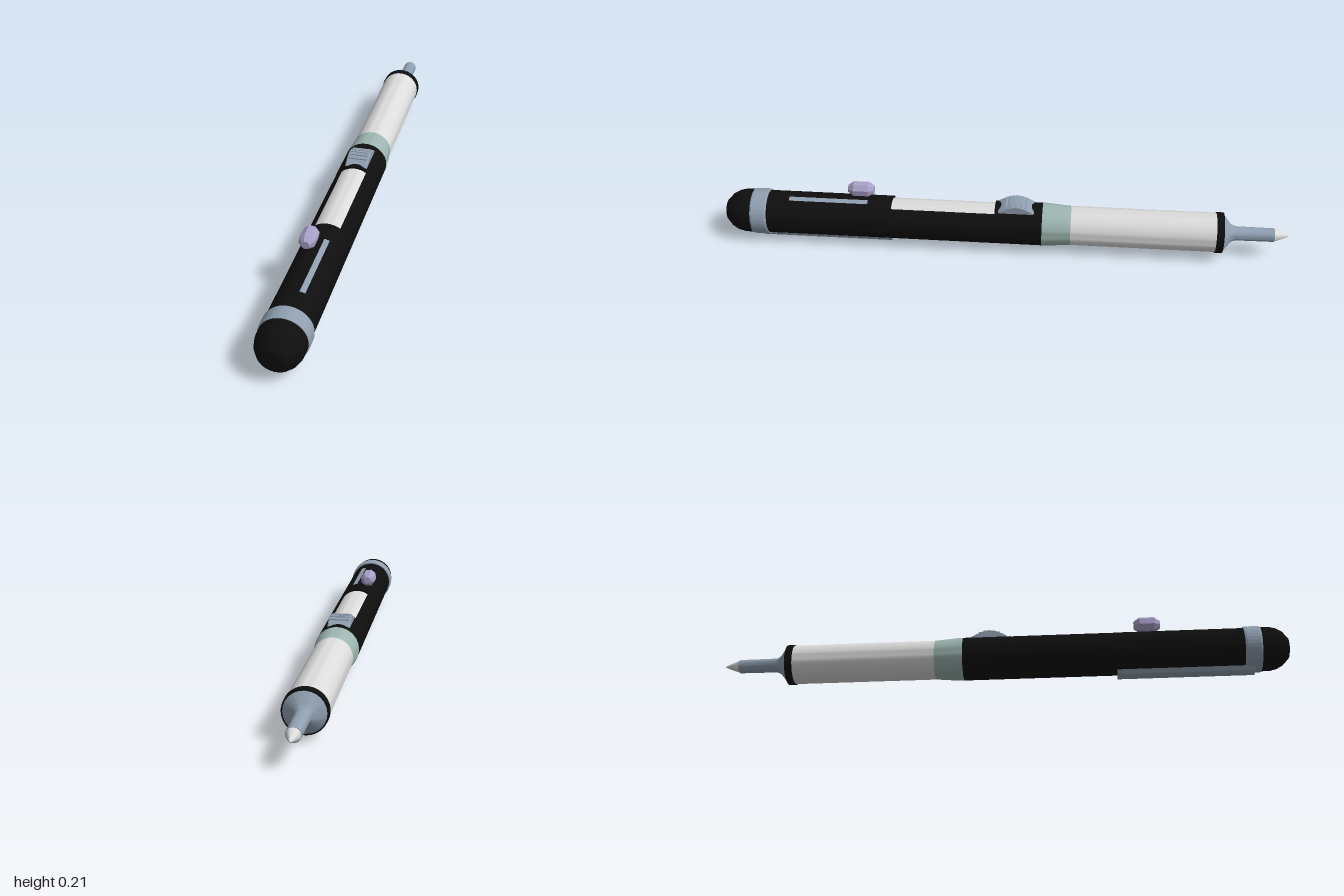
import * as THREE from 'three';
import { toCreasedNormals } from 'three/addons/utils/BufferGeometryUtils.js';

const AXIS_Y = 0.0915;

function material(name, color, flatShading = false) {
  const m = new THREE.MeshStandardMaterial({ color, flatShading });
  m.name = name;
  return m;
}

export function createModel() {
  const black = material('black', 0x0e0e0e);
  const steel = material('blue grey', 0x8f9fb0);
  const white = material('white', 0xdcdcdc);
  const teal = material('pale teal', 0x9db5b0);
  const lavender = material('lavender', 0xa9a0c8);

  const pen = new THREE.Group();
  pen.name = 'pen';

  function add(name, geometry, mat, x = 0, y = 0, z = 0) {
    const mesh = new THREE.Mesh(geometry, mat);
    mesh.name = name;
    mesh.position.set(x, y, z);
    pen.add(mesh);
    return mesh;
  }

  // Turned part along z; profile is [radius, z] from back to front
  function turned(name, profile, mat, sides = 48, start = 0, sweep = Math.PI * 2, crease = 0.5) {
    const pts = profile.map(([r, z]) => new THREE.Vector2(r, z));
    const g = new THREE.LatheGeometry(pts, sides, start, sweep);
    g.rotateX(Math.PI / 2);
    return add(name, toCreasedNormals(g, crease), mat, 0, AXIS_Y, 0);
  }

  // Writing end
  turned('tip', [[0, -1], [0.006, -0.99], [0.023, -0.945], [0, -0.945]], white, 16);
  turned('nozzle', [[0, -0.946], [0.024, -0.946], [0.025, -0.81], [0.032, -0.795],
    [0.068, -0.767], [0, -0.767]], steel, 24);
  turned('noseRing', [[0, -0.768], [0.071, -0.768], [0.072, -0.742], [0, -0.742]], black);
  turned('grip', [[0.069, -0.742], [0.069, -0.237]], white);
  turned('taperBand', [[0.069, -0.237], [0.076, -0.15], [0.076, -0.137]], teal);

  // Barrel with an opening on top over a white core
  const R = 0.0757;
  turned('frontBarrel', [[0, -0.138], [R, -0.138], [R, 0.03], [0, 0.03]], black);
  turned('rearBarrel', [[0, 0.395], [R, 0.395], [R, 0.842], [0, 0.842]], black);
  const half = Math.asin(0.042 / R);
  const sweep = Math.PI * 2 - half * 2;
  turned('windowBarrel', [[0.066, 0.03], [R, 0.03], [R, 0.395], [0.066, 0.395]],
    black, 40, Math.PI + half, sweep);
  turned('windowCore', [[0.069, 0.03], [0.069, 0.395]], white);
  turned('slot', [[R + 0.001, 0.48], [R + 0.001, 0.76]], steel, 4, Math.PI - 0.4, 0.24);

  // Collar and end cap
  turned('collar', [[0.07, 0.838], [0.079, 0.838], [0.081, 0.844], [0.081, 0.89],
    [0.079, 0.896], [0.07, 0.896]], steel, 40, 0, Math.PI * 2, 0.1);
  turned('endCap', [[0.077, 0.894], [0.077, 0.925], [0.071, 0.95], [0.059, 0.971],
    [0.036, 0.992], [0, 1]], black);

  // Ribbed thumb slider with an arched top
  const arch = new THREE.Shape();
  arch.moveTo(-0.105, 0.145);
  for (let i = 0; i <= 10; i++) {
    const t = i / 10;
    arch.lineTo(-0.105 + 0.12 * t, 0.16 + 0.022 * Math.sin(Math.PI * t));
  }
  arch.lineTo(0.015, 0.145);
  const sliderGeo = new THREE.ExtrudeGeometry(arch, {
    depth: 0.07, bevelEnabled: true, bevelSize: 0.003, bevelThickness: 0.004, bevelSegments: 1,
  });
  sliderGeo.translate(0, 0, -0.035).rotateY(-Math.PI / 2);
  add('slider', toCreasedNormals(sliderGeo, 0.4), steel);
  for (let i = 0; i < 5; i++) {
    const t = 0.22 + i * 0.14;
    add('sliderRib', new THREE.BoxGeometry(0.066, 0.008, 0.007), steel,
      0, 0.162 + 0.021 * Math.sin(Math.PI * t), -0.105 + 0.12 * t);
  }

  // Faceted knob
  const knobPts = [[0, -0.046], [0.014, -0.046], [0.028, -0.026], [0.028, 0.026],
    [0.014, 0.046], [0, 0.046]].map(([r, z]) => new THREE.Vector2(r, z));
  const knobGeo = new THREE.LatheGeometry(knobPts, 8).rotateX(Math.PI / 2).rotateZ(0.25);
  add('knob', toCreasedNormals(knobGeo, 0.1), lavender, -0.029, 0.186, 0.509);

  // Clip along the underside
  const section = new THREE.Shape([[-0.03, 0.019], [-0.022, 0.004], [-0.01, 0], [0.01, 0],
    [0.022, 0.004], [0.03, 0.019]].map(([x, y]) => new THREE.Vector2(x, y)));
  const clipGeo = new THREE.ExtrudeGeometry(section, { depth: 0.47, bevelEnabled: false });
  add('clip', clipGeo, steel, 0, 0, 0.4);

  return pen;
}
